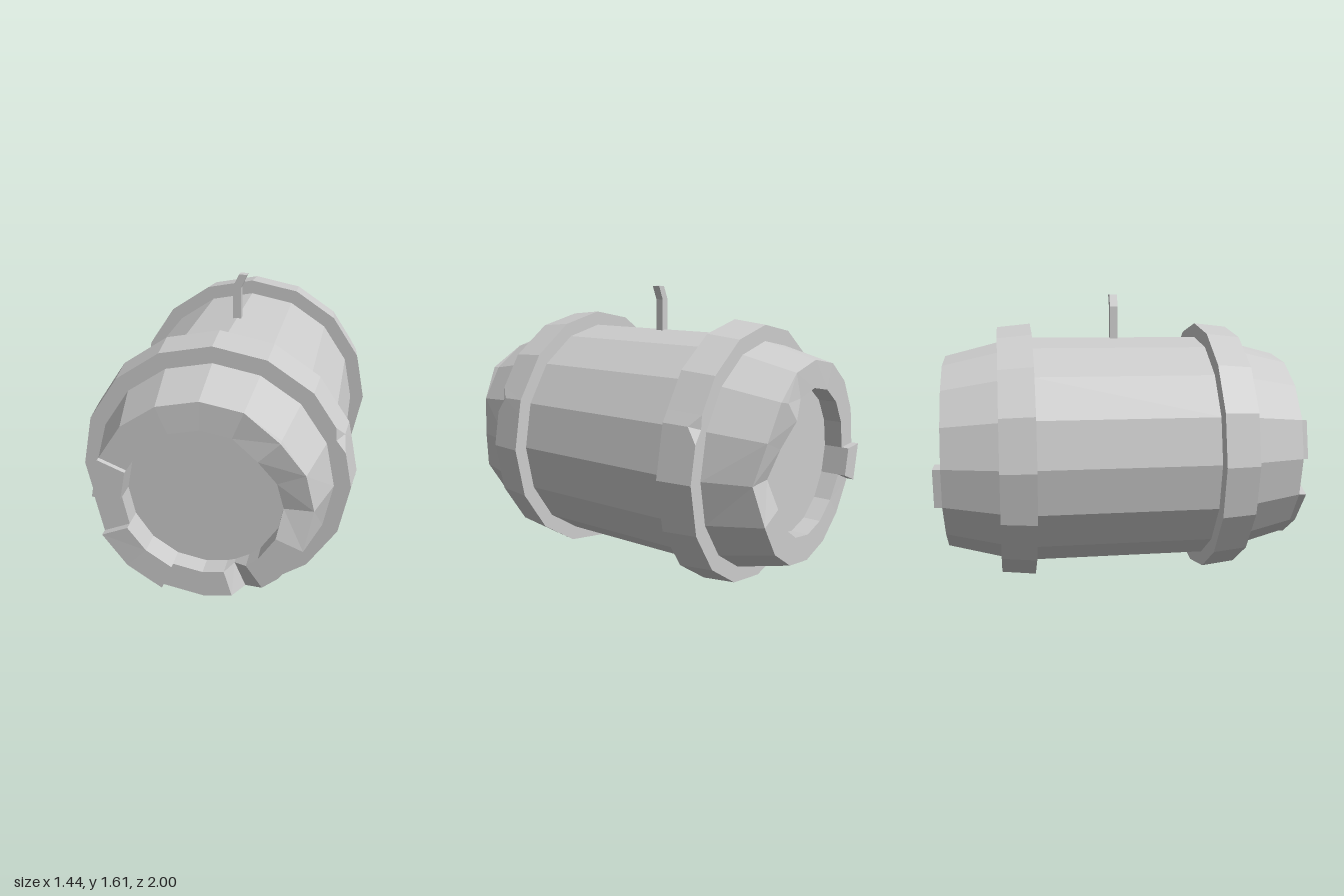
import * as THREE from 'three';

const AXIS_Y = 0.725;
const STEP = 22.5; // sixteen staves
const mat = new THREE.MeshStandardMaterial({ color: 0xcccccc, flatShading: true, side: THREE.DoubleSide });

// Joins profiles of [radius, z] placed at angles around the z axis
function loft(name, stations, profileOf, side = 1) {
  const pos = [];
  const rows = stations.map((s) => profileOf(s).map(([r, z]) => {
    const a = THREE.MathUtils.degToRad(s[0]);
    return new THREE.Vector3(r * Math.cos(a), r * Math.sin(a), z * side);
  }));
  const tri = (a, b, c) => {
    const area = b.clone().sub(a).cross(c.clone().sub(a)).length();
    if (area < 1e-7) return;
    for (const p of side > 0 ? [a, b, c] : [a, c, b]) pos.push(p.x, p.y, p.z);
  };
  rows.forEach((row, i) => {
    const next = rows[(i + 1) % rows.length];
    for (let j = 0; j < row.length - 1; j++) {
      tri(row[j], next[j], next[j + 1]);
      tri(row[j], next[j + 1], row[j + 1]);
    }
  });
  const geo = new THREE.BufferGeometry();
  geo.setAttribute('position', new THREE.Float32BufferAttribute(pos, 3));
  geo.computeVertexNormals();
  const mesh = new THREE.Mesh(geo, mat);
  mesh.name = name;
  mesh.position.y = AXIS_Y;
  return mesh;
}

const staves = Array.from({ length: 16 }, (_, i) => [i * STEP]);

// Tapered end: cone, uneven rim, inner wall and recessed lid
const endProfile = ([, z]) => [
  [0.615, 0.6], [0.615, 0.665], [0.54, Math.min(z, 0.96)], [0.54, z],
  [0.395, z], [0.395, 0.86], [0, 0.86],
];

// Rim height by angle; a repeated angle makes a step
const rimTop = [[22.5, 0.955], [45, 0.995], [67.5, 0.95], [90, 0.955], [112.5, 0.96], [135, 0.96]];
const frontRim = [
  [0, 0.92], ...rimTop,
  [157.5, 0.96], [157.5, 0.985], [180, 0.985], [180, 0.96],
  [202.5, 0.96], [202.5, 1], [225, 0.99], [247.5, 0.99], [247.5, 0.96],
  [270, 0.96], [286, 0.96], [292.5, 0.89], [304, 0.96], [315, 0.96], [337.5, 0.96],
];
const backRim = [
  [0, 0.905], ...rimTop,
  [157.5, 0.96], [180, 0.96], [180, 1], [202.5, 1], [202.5, 0.96],
  ...[225, 247.5, 270, 292.5, 315, 337.5].map((a) => [a, 0.955]),
];

// Hoop with one chipped corner at the second stave
const hoopStations = [...staves.slice(0, 1), [16, 0.985], [22.5, 1, true], [28, 0.985], ...staves.slice(2)];
const hoopProfile = ([, k = 1, chip]) => [
  [0.6, 0.48], [0.72 * k, 0.48],
  chip ? [0.706, 0.615] : [0.7 * k, 0.665],
  chip ? [0.665, 0.665] : [0.7 * k, 0.665],
  [0.6, 0.665],
];

export function createModel() {
  const model = new THREE.Group();
  model.name = 'barrel';

  model.add(loft('body', staves, () => [[0.64, -0.49], [0.64, 0.49]]));
  for (const [label, side, rim] of [['front', 1, frontRim], ['back', -1, backRim]]) {
    model.add(loft(label + 'Hoop', hoopStations, hoopProfile, side));
    model.add(loft(label + 'End', rim, endProfile, side));
  }

  // Bent fuse on top
  const outline = [[-0.023, 1.34], [0.022, 1.34], [0.022, 1.535], [0.056, 1.61], [0.01, 1.61], [-0.023, 1.54]];
  const shape = new THREE.Shape(outline.map(([x, y]) => new THREE.Vector2(x, y)));
  const fuseGeo = new THREE.ExtrudeGeometry(shape, { depth: 0.044, bevelEnabled: false });
  fuseGeo.translate(0, 0, -0.022);
  const fuse = new THREE.Mesh(fuseGeo, mat);
  fuse.name = 'fuse';
  model.add(fuse);

  return model;
}
